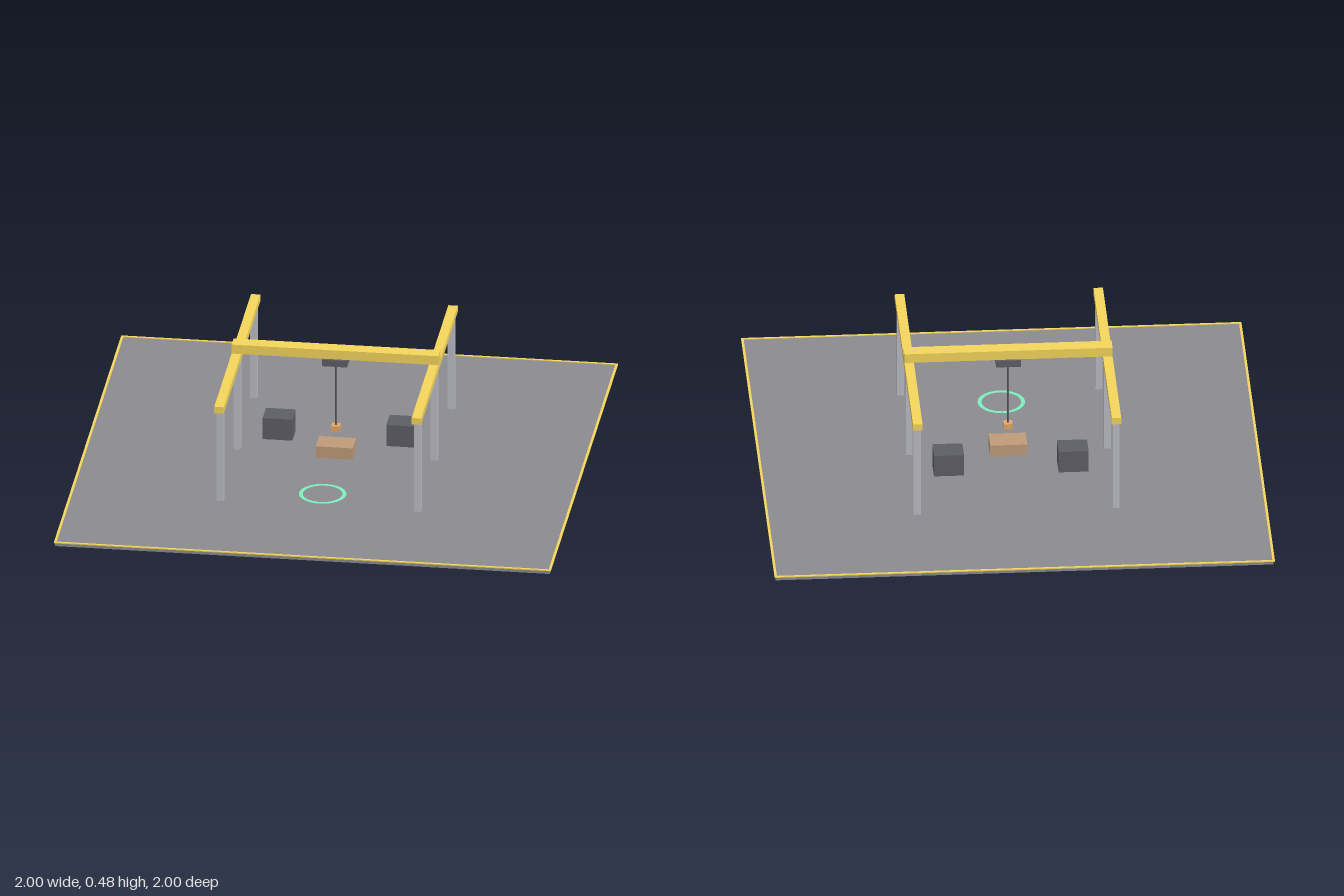
import * as THREE from 'three';

export function createModel() {
  const root = new THREE.Group();
  const mat = (color) => new THREE.MeshStandardMaterial({ color });
  const floorGrey = mat(0x8c8c90), yellow = mat(0xf4d55c), steel = mat(0xbcbcc6);
  const dark = mat(0x5e5e65), wood = mat(0xc09c78), orange = mat(0xe6a765), green = mat(0x7cf0bc);

  const add = (name, geometry, material, x, y, z) => {
    const mesh = new THREE.Mesh(geometry, material);
    mesh.name = name;
    mesh.position.set(x, y, z);
    root.add(mesh);
    return mesh;
  };
  // Box given by its size, centre x/z and bottom height
  const box = (name, material, w, h, d, x, y0, z) =>
    add(name, new THREE.BoxGeometry(w, h, d), material, x, y0 + h / 2, z);

  const floorTop = 0.015, railBottom = 0.414, railTop = 0.442;

  // Floor slab with a thin painted border
  box('floor', floorGrey, 1.99, floorTop, 1.99, 0, 0, 0);
  for (const s of [-1, 1]) {
    box('borderSide', yellow, 0.01, 0.004, 2, s * 0.995, floorTop - 0.001, 0);
    box('borderEnd', yellow, 1.98, 0.004, 0.01, 0, floorTop - 0.001, s * 0.995);
  }

  // Two runway rails, each on three square columns
  for (const s of [-1, 1]) {
    const x = s * 0.397;
    box('runwayRail', yellow, 0.038, railTop - railBottom, 1.09, x, railBottom, 0);
    for (const z of [-0.497, 0, 0.497])
      box('column', steel, 0.028, railBottom - floorTop, 0.028, x, floorTop, z);
    // Equipment blocks on the floor
    box('equipmentBlock', dark, 0.12, 0.092, 0.1, s * 0.249, floorTop, -0.149);
  }

  // Crane bridge, trolley, cable and hook
  box('bridge', yellow, 0.832, 0.039, 0.06, 0, railTop, 0);
  box('trolley', dark, 0.1, 0.028, 0.082, 0, railBottom, 0);
  add('cable', new THREE.CylinderGeometry(0.004, 0.004, 0.276, 8), dark, 0, 0.278, 0);
  box('hookBlock', orange, 0.035, 0.024, 0.035, 0, 0.118, 0);

  // Load below the hook
  box('crate', wood, 0.149, 0.05, 0.1, 0, floorTop, 0);

  // Flat floor marker ring
  const ring = add('markerRing', new THREE.RingGeometry(0.079, 0.095, 32), green, 0, 0.019, 0.397);
  ring.rotation.x = -Math.PI / 2;

  return root;
}
